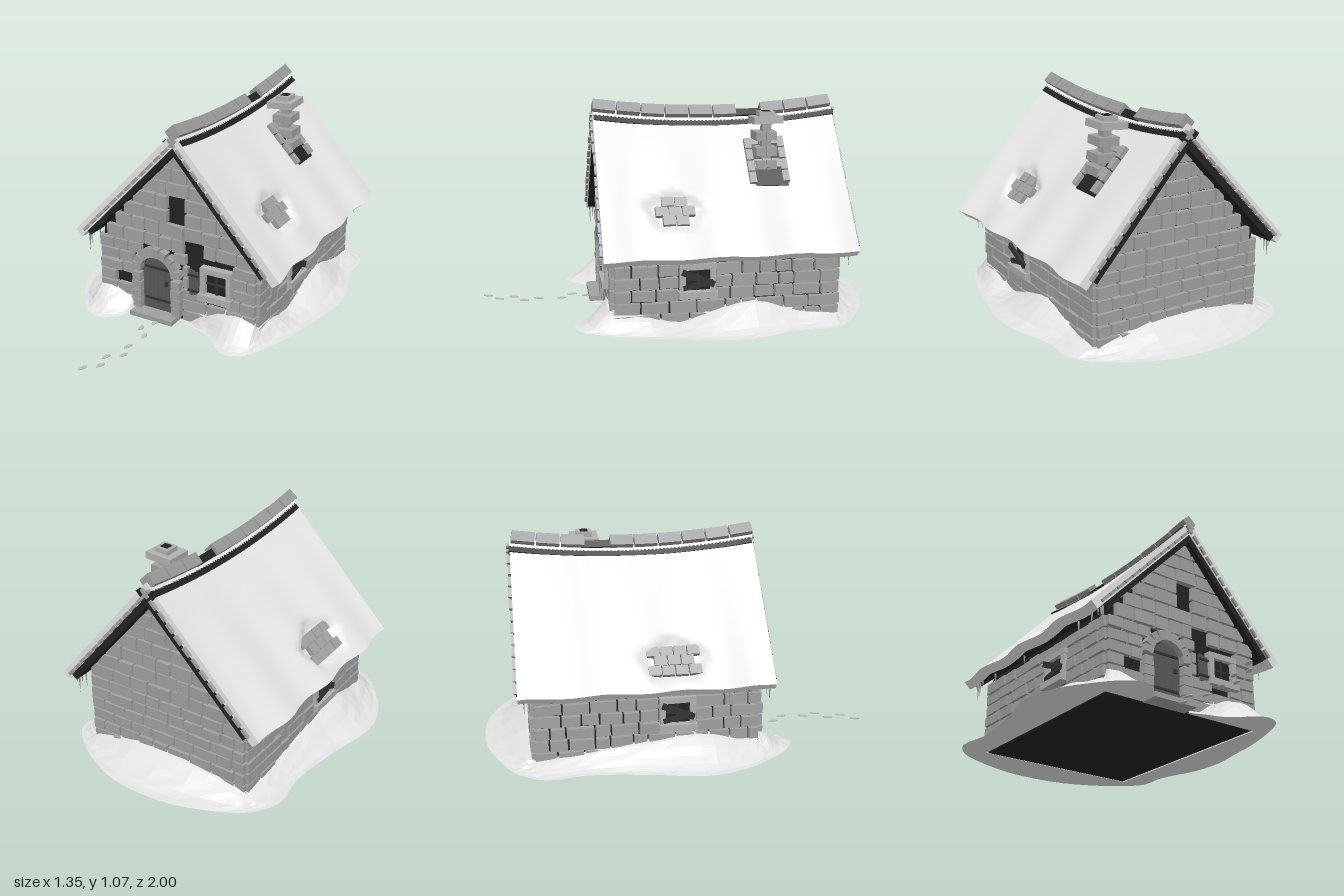
import * as THREE from 'three';
import { mergeGeometries } from 'three/addons/utils/BufferGeometryUtils.js';

const mat = (name, color, opt = {}) => Object.assign(new THREE.MeshStandardMaterial({ color, ...opt }), { name });
const M = {
  snow: mat('snow', 0xe6e6e6),
  drift: mat('drift snow', 0xe2e2e2, { flatShading: true }),
  stone: mat('stone', 0xa0a0a0),
  trim: mat('trim stone', 0xb0b0b0),
  ridge: mat('ridge stone', 0x989898),
  dark: mat('dark mortar', 0x222222),
  door: mat('door wood', 0x585858),
  iron: mat('dark wood', 0x333333),
  print: mat('footprint', 0xbcbcbc),
};

let seed = 7;
const rnd = (a, b) => {
  seed = (seed * 16807) % 2147483647;
  return a + (b - a) * (seed / 2147483647);
};

// Box with centre and rotation
function box(w, h, d, x, y, z, rx = 0, ry = 0, rz = 0) {
  const m = new THREE.Matrix4().makeRotationFromEuler(new THREE.Euler(rx, ry, rz)).setPosition(x, y, z);
  return new THREE.BoxGeometry(w, h, d).applyMatrix4(m);
}
function add(parent, name, geos, material) {
  const mesh = new THREE.Mesh(Array.isArray(geos) ? mergeGeometries(geos) : geos, material);
  mesh.name = name;
  parent.add(mesh);
  return mesh;
}

// Roof surface: t runs ridge to eave, n is the offset along the normal
const RX = 0.03;
const ridgeY = z => 0.985 + 0.045 * ((z + 0.2) / 0.62) ** 2;
const half = s => (s > 0 ? 0.565 : 0.6);
const eaveY = s => (s > 0 ? 0.385 : 0.4);
function roofPoint(s, t, z, n) {
  const rise = ridgeY(z) - eaveY(s), len = Math.hypot(half(s), rise);
  return [RX + s * (t * half(s) + n * rise / len), ridgeY(z) - t * rise + n * half(s) / len, z];
}
function roofBox(s, t, z, n, along, thick, wide) {
  const a = Math.atan2(ridgeY(z) - eaveY(s), half(s));
  return box(along, thick, wide, ...roofPoint(s, t, z, n), 0, 0, -s * a);
}
function roofSlab(s, t1, zBack, zFront, nTop, nBottom, wave = 0) {
  const g = new THREE.BoxGeometry(1, 1, 1, 32, 1, 64), p = g.attributes.position;
  for (let i = 0; i < p.count; i++) {
    const t = (s > 0 ? p.getX(i) + 0.5 : 0.5 - p.getX(i)) * t1;
    const z = zBack + (p.getZ(i) + 0.5) * (zFront - zBack);
    const q = roofPoint(s, t, z, p.getY(i) > 0 ? nTop(t, z) : nBottom);
    p.setXYZ(i, q[0] + s * wave * t * Math.sin(z * 17 + s), q[1], q[2]);
  }
  g.computeVertexNormals();
  return g;
}

// Courses of rough stones, leaving out the given [u0, u1, y0, y1] gaps
function stoneWall(rows, range, gaps) {
  const out = [];
  for (const [y0, y1] of rows) {
    let spans = [range(y1)];
    const mid = (y0 + y1) / 2;
    for (const g of gaps.filter(k => mid > k[2] && mid < k[3])) {
      spans = spans.flatMap(([a, b]) => [[a, Math.min(b, g[0])], [Math.max(a, g[1]), b]]).filter(([a, b]) => b - a > 0.015);
    }
    for (const [a, b] of spans) {
      let u = a;
      while (u < b - 0.005) {
        let w = rnd(0.07, 0.145);
        if (b - u - w < 0.05) w = b - u;
        if (w > 0.16) w /= 2;
        out.push(box(w - 0.009, y1 - y0 - rnd(0.006, 0.013), 0.05 + rnd(0, 0.016),
          u + w / 2, mid, 0, rnd(-0.04, 0.04), rnd(-0.04, 0.04), rnd(-0.03, 0.03)));
        u += w;
      }
    }
  }
  return out;
}

// Window with frame, dark pane, bars and a shutter; local +z points outwards
function makeWindow(name, w, h) {
  const g = new THREE.Group();
  g.name = name;
  add(g, 'windowPane', box(w, h, 0.008, 0, 0, 0.012), M.dark);
  add(g, 'windowFrame', [
    box(w + 0.06, 0.035, 0.05, 0, -h / 2 - 0.015, 0.03), box(w + 0.05, 0.03, 0.04, 0, h / 2 + 0.015, 0.02, 0, 0, 0.02),
    ...[-1, 1].map(s => box(0.028, h, 0.04, s * (w / 2 + 0.01), 0, 0.02)),
  ], M.trim);
  add(g, 'windowBars', [box(0.01, h, 0.012, 0, 0, 0.018), box(w, 0.01, 0.012, 0, 0, 0.018)], M.iron);
  return g;
}

export function createModel() {
  const house = new THREE.Group();
  house.name = 'snowyCottage';

  // Dark core behind the stones
  const pent = new THREE.Shape([[-0.43, 0], [0.45, 0], [0.45, 0.42], [0.03, 0.91], [-0.43, 0.42]].map(p => new THREE.Vector2(...p)));
  add(house, 'wallCore', new THREE.ExtrudeGeometry(pent, { depth: 1.09, bevelEnabled: false }).translate(0, 0, -0.74), M.dark);

  // Stone walls
  const rows = [];
  for (let i = 0; i < 6; i++) rows.push([0.01 + i * 0.0625, 0.01 + (i + 1) * 0.0625]);
  for (let i = 0; i < 7; i++) rows.push([0.385 + i * 0.0745, 0.385 + (i + 1) * 0.0745]);
  const gable = sx => y => {
    const w = y < 0.4 ? 0.455 : Math.min(0.43, (1.03 - y) * 0.76);
    return [sx * RX * (y < 0.4 ? 0.3 : 1) - w, sx * RX * (y < 0.4 ? 0.3 : 1) + w];
  };
  const frontGaps = [
    [-0.24, 0.05, 0, 0.335], [-0.19, 0, 0.33, 0.39], [0.085, 0.335, 0.18, 0.36], [0.075, 0.15, 0.33, 0.39],
    [-0.35, -0.24, 0.13, 0.19], [-0.03, 0.065, 0.535, 0.69], [0.06, 0.17, 0.39, 0.46], [0.18, 0.3, 0.13, 0.19],
  ];
  const place = (geos, ry, x, z) => geos.map(g => g.rotateY(ry).translate(x, 0, z));
  add(house, 'frontStones', place(stoneWall(rows, gable(1), frontGaps), 0, 0, 0.348), M.stone);
  add(house, 'backStones', place(stoneWall(rows, gable(-1), []), Math.PI, 0, -0.738), M.stone);
  const sideRows = rows.slice(0, 6);
  for (const s of [1, -1]) {
    const c = 0.05 * s;
    const gap = [c - 0.09, c + 0.09, 0.15, 0.32];
    const stones = stoneWall(sideRows, () => (s > 0 ? [-0.36, 0.75] : [-0.75, 0.36]), [gap]);
    add(house, s > 0 ? 'leftStones' : 'rightStones', place(stones, s * Math.PI / 2, s > 0 ? 0.448 : -0.428, 0), M.stone);

    // Boarded side windows
    const win = makeWindow('sideWindow', 0.13, 0.11);
    win.position.set(s > 0 ? 0.45 : -0.43, 0.24, -0.05);
    win.rotation.y = s * Math.PI / 2;
    add(win, 'windowBoards', [box(0.17, 0.03, 0.012, 0, 0.015, 0.047, 0, 0, -0.4), box(0.15, 0.025, 0.012, 0, -0.02, 0.04, 0, 0, 0.2)], M.iron);
    house.add(win);
  }

  // Front window with a shutter
  const win = makeWindow('frontWindow', 0.125, 0.115);
  win.position.set(0.247, 0.26, 0.35);
  add(win, 'shutter', [-1, 0, 1].map(i => box(0.016, 0.13 - 0.01 * i, 0.012, -0.125 + i * 0.018, -0.012, 0.03, 0, 0, 0.04)), M.door);
  add(win, 'shutterStraps', [-0.055, 0.03].map(y => box(0.06, 0.012, 0.008, -0.125, y, 0.038)), M.iron);
  house.add(win);

  // Arched door of four planks
  const DX = -0.1;
  const planks = [];
  for (let i = 0; i < 4; i++) {
    const x0 = -0.088 + i * 0.044, x1 = x0 + 0.041;
    const top = x => 0.235 + Math.sqrt(Math.max(0, 0.0081 - x * x));
    const pts = [[x0, 0.02], [x1, 0.02], [x1, top(x1)], [(x0 + x1) / 2, top((x0 + x1) / 2)], [x0, top(x0)]];
    const sh = new THREE.Shape(pts.map(p => new THREE.Vector2(...p)));
    planks.push(new THREE.ExtrudeGeometry(sh, { depth: 0.012, bevelEnabled: false }).translate(DX, 0, 0.352));
  }
  add(house, 'doorPlanks', planks, M.door);
  add(house, 'doorIronwork', [0.085, 0.265].map(y => box(0.15, 0.012, 0.008, DX, y, 0.366)).concat(box(0.014, 0.02, 0.02, -0.045, 0.19, 0.37)), M.iron);
  const surround = [];
  for (let i = 0; i < 9; i++) {
    const a = Math.PI * (i + 0.5) / 9;
    surround.push(box(0.05, 0.037, 0.06, DX + 0.117 * Math.cos(a), 0.24 + 0.117 * Math.sin(a), 0.362, 0, rnd(-0.05, 0.05), a));
  }
  for (const s of [-1, 1]) for (let i = 0; i < 4; i++) {
    surround.push(box(0.05 + rnd(-0.006, 0.006), 0.047, 0.06, DX + s * 0.116, 0.048 + i * 0.051, 0.362));
  }
  add(house, 'doorArch', surround, M.stone);
  add(house, 'doorStep', box(0.25, 0.025, 0.1, DX, 0.0125, 0.395), M.stone);

  // Snow roof with worn hollows that bare the shingles, on a dark timber deck
  const patches = { 1: { t: 0.68, z: 0.05, rt: 0.14, rz: 0.16 }, [-1]: { t: 0.8, z: -0.065, rt: 0.15, rz: 0.19 } };
  for (const s of [1, -1]) {
    const c = patches[s];
    const dist = (t, z) => {
      const a = (t - c.t) / c.rt, b = (z - c.z) / c.rz;
      return Math.hypot(a, b) * (1 + 0.1 * Math.sin(5 * Math.atan2(a, b)));
    };
    const top = (t, z) => -0.036 * (1 - THREE.MathUtils.smoothstep(dist(t, z), 0.6, 1));
    add(house, 'roofSnow', roofSlab(s, 1, -0.82, 0.415, top, -0.05, 0.012), M.snow);
    add(house, 'roofDeck', roofSlab(s, 0.94, -0.825, 0.41, () => -0.045, -0.078), M.dark);
    const tiles = [];
    for (let r = -2; r <= 2; r++) for (let k = -3; k <= 3; k++) {
      const t = c.t + r * 0.062, z = c.z + (k + (r & 1) * 0.5) * 0.066;
      if (dist(t, z) < 0.68) tiles.push(roofBox(s, t, z, -0.024 + rnd(-0.004, 0.004), 0.05, 0.03, 0.06));
    }
    add(house, 'bareShingles', tiles, M.stone);

    // Ragged shingle ends along the gable edges
    const ends = [];
    for (let i = 0; i < 13; i++) for (const z of [0.413, -0.822]) {
      ends.push(roofBox(s, 0.04 + i * 0.073, z, -0.036, 0.05, 0.014, 0.02 + rnd(0, 0.012)));
    }
    add(house, 'shingleEnds', ends, M.stone);

    // Icicles under the eaves
    const ice = [];
    for (const z of [0.4, 0.385, 0.36, 0.31, 0.2, -0.3, -0.6, -0.74, -0.77, -0.79, -0.805]) {
      const l = rnd(0.03, 0.12), q = roofPoint(s, 0.94, z, -0.06);
      ice.push(new THREE.ConeGeometry(0.006, l, 5).rotateX(Math.PI).translate(q[0], q[1] - l / 2, z));
    }
    add(house, 'icicles', ice, M.ridge);
  }

  // Sagging row of ridge stones with one missing
  const caps = [];
  for (let i = 0; i < 10; i++) {
    const z = 0.358 - i * 0.1235;
    if (i !== 6) caps.push(box(0.06, 0.06, 0.116, RX, ridgeY(z), z, -Math.atan(0.09 * (z + 0.2) / 0.3844), 0, Math.PI / 4 + rnd(-0.04, 0.04)));
  }
  add(house, 'ridgeStones', caps, M.ridge);
  add(house, 'ridgeGap', box(0.04, 0.04, 0.15, RX, 0.975, -0.39, 0, 0, Math.PI / 4), M.dark);

  // Chimney: broken footing in the roof, loose stack and cap
  const CZ = -0.435;
  add(house, 'chimneyHole', roofBox(1, 0.385, CZ, -0.014, 0.26, 0.034, 0.19), M.dark);
  const footing = [-1, 1].flatMap(k => [0.25, 0.33, 0.41, 0.49].map(t => roofBox(1, t, CZ + k * 0.083, 0.004, 0.06, 0.036, 0.034)));
  for (const k of [-1, 0, 1]) footing.push(roofBox(1, 0.24, CZ + k * 0.052, 0.004, 0.035, 0.034, 0.045), roofBox(1, 0.4, CZ + k * 0.045, 0.006, 0.05, 0.036, 0.04));
  add(house, 'chimneyFooting', footing, M.stone);
  const stack = [box(0.045, 0.26, 0.045, 0.22, 0.86, CZ)];
  [[0.24, 0.755], [0.232, 0.82], [0.222, 0.897]].forEach(([x, y], i) => {
    for (const k of [-1, 1]) stack.push(box(0.1 + 0.004 * i, 0.042, 0.05, x, y, CZ + k * 0.029 + 0.008, 0, 0.04 * k, 0.04));
  });
  add(house, 'chimneyStack', stack, M.stone);
  add(house, 'chimneyCap', [box(0.145, 0.035, 0.145, 0.21, 0.974, CZ, 0.02, 0, 0.08), box(0.075, 0.03, 0.08, 0.212, 1.0, CZ, 0, 0, 0.05)], M.trim);
  add(house, 'chimneyFlue', box(0.04, 0.006, 0.04, 0.212, 1.016, CZ, 0, 0, 0.05), M.dark);

  // Snow drift around the walls, open at the door: [x, z, height at the wall]
  const outline = [
    [0.04, 0.37, 0.01], [0.13, 0.4, 0.08], [0.22, 0.43, 0.12], [0.37, 0.545, 0.13], [0.46, 0.52, 0.11], [0.53, 0.4, 0.08],
    [0.6, 0.2, 0.07], [0.63, 0.05, 0.03], [0.67, -0.15, 0.09], [0.66, -0.33, 0.13], [0.59, -0.56, 0.06], [0.59, -0.72, 0.04],
    [0.5, -0.82, 0.03], [0.36, -0.91, 0.06], [0.15, -0.985, 0.1], [-0.15, -0.985, 0.1], [-0.38, -0.91, 0.06], [-0.52, -0.83, 0.03],
    [-0.6, -0.7, 0.04], [-0.58, -0.5, 0.06], [-0.62, -0.22, 0.1], [-0.68, 0.08, 0.13], [-0.63, 0.27, 0.08], [-0.54, 0.41, 0.07],
    [-0.45, 0.51, 0.11], [-0.36, 0.55, 0.11], [-0.27, 0.49, 0.08], [-0.225, 0.39, 0.04],
  ];
  const rim = new THREE.CatmullRomCurve3(outline.map(([x, z, h]) => new THREE.Vector3(x, h, z))).getPoints(84);
  const pos = [], idx = [], K = 6;
  rim.forEach((p, i) => {
    const ix = THREE.MathUtils.clamp(p.x, -0.44, 0.46), iz = THREE.MathUtils.clamp(p.z, -0.745, 0.355);
    for (let k = 0; k <= K; k++) {
      const f = k / K, bump = k > 0 && k < K ? rnd(-0.004, 0.004) : 0;
      pos.push(ix + (p.x - ix) * f, Math.max(0, p.y * (0.5 + 0.5 * Math.cos(Math.PI * f ** 0.85)) + bump), iz + (p.z - iz) * f);
    }
    pos.push(ix, 0, iz);
    if (i === rim.length - 1) return;
    const a = i * (K + 2), b = a + K + 2;
    for (let k = 0; k < K; k++) idx.push(a + k, a + k + 1, b + k, b + k, a + k + 1, b + k + 1);
    idx.push(a + K, a + K + 1, b + K, b + K, a + K + 1, b + K + 1);
  });
  const drift = new THREE.BufferGeometry();
  drift.setAttribute('position', new THREE.Float32BufferAttribute(pos, 3));
  drift.setIndex(idx);
  drift.computeVertexNormals();
  add(house, 'snowDrift', drift, M.drift);

  // Footprints leading to the door
  const steps = [[-0.07, 0.455], [-0.1, 0.53], [-0.045, 0.59], [-0.06, 0.71], [-0.035, 0.785], [-0.1, 0.84], [-0.08, 0.915], [-0.14, 0.975]];
  add(house, 'footprints', steps.map(([x, z], i) =>
    new THREE.CylinderGeometry(1, 1, 0.004, 12).scale(0.011, 1, 0.025).rotateY(i < 3 ? 0.15 : -0.3).translate(x, 0.002, z)), M.print);

  return house;
}
